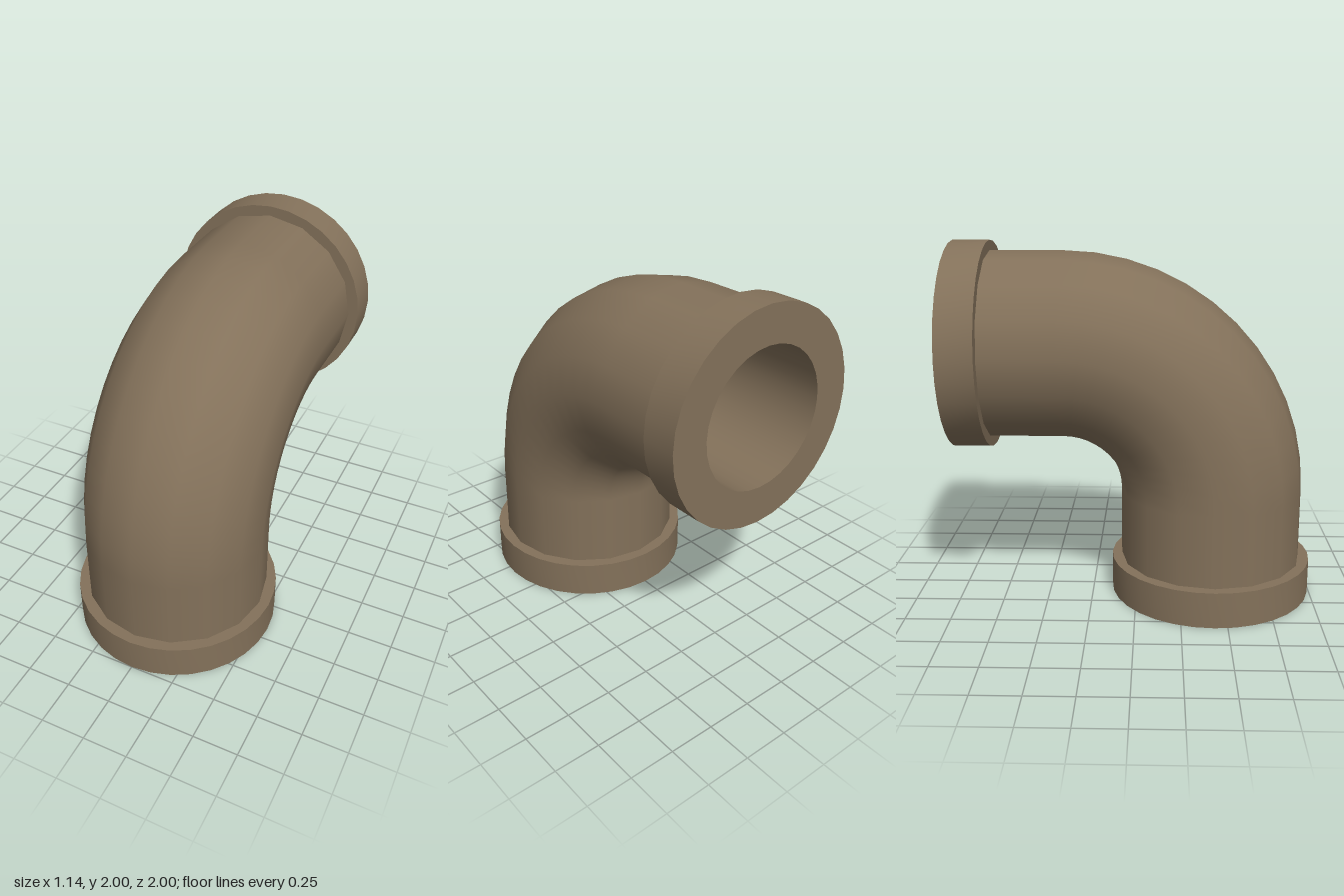
import * as THREE from 'three';
import { toCreasedNormals } from 'three/addons/utils/BufferGeometryUtils.js';

const AXIS = 0.43;        // z of the lower leg axis; upper leg axis sits at y = 1 + AXIS
const BEND = 0.83;        // centreline radius of the bend
const LEG = 0.6;          // straight length before and after the bend
const PIPE = 0.515, BORE = 0.37, COLLAR = 0.57, COLLAR_H = 0.2;

export function createModel() {
  const model = new THREE.Group();
  model.name = 'pipeElbow';
  const brown = new THREE.MeshStandardMaterial({ color: 0x83715a, side: THREE.DoubleSide });
  brown.name = 'brown';

  const add = (parent, name, geometry) => {
    const mesh = new THREE.Mesh(geometry, brown);
    mesh.name = name;
    parent.add(mesh);
    return mesh;
  };

  // Straight leg, quarter bend, straight leg, all of one radius
  const addElbow = (name, radius, sides) => {
    const elbow = new THREE.Group();
    elbow.name = name;
    model.add(elbow);
    const leg = new THREE.CylinderGeometry(radius, radius, LEG, sides, 1, true);
    add(elbow, name + 'LowerLeg', leg).position.set(0, LEG / 2, AXIS);
    const upper = add(elbow, name + 'UpperLeg', leg);
    upper.rotation.x = Math.PI / 2;
    upper.position.set(0, LEG + BEND, -1 + LEG / 2);
    const bend = new THREE.TorusGeometry(BEND, radius, sides, 12, Math.PI / 2);
    bend.rotateY(-Math.PI / 2);
    add(elbow, name + 'Bend', bend).position.set(0, LEG, AXIS - BEND);
  };
  addElbow('pipe', PIPE, 16);
  addElbow('bore', BORE, 32);

  // Collars: end ring, rim and shoulder; the bore forms the inner wall
  const profile = [[BORE, 0], [COLLAR, 0], [COLLAR, COLLAR_H], [0.5, COLLAR_H]]
    .map(([r, y]) => new THREE.Vector2(r, y));
  const collar = toCreasedNormals(new THREE.LatheGeometry(profile, 32), 0.6);
  add(model, 'lowerCollar', collar).position.set(0, 0, AXIS);
  const upperCollar = add(model, 'upperCollar', collar);
  upperCollar.rotation.x = Math.PI / 2;
  upperCollar.position.set(0, LEG + BEND, -1);

  return model;
}
